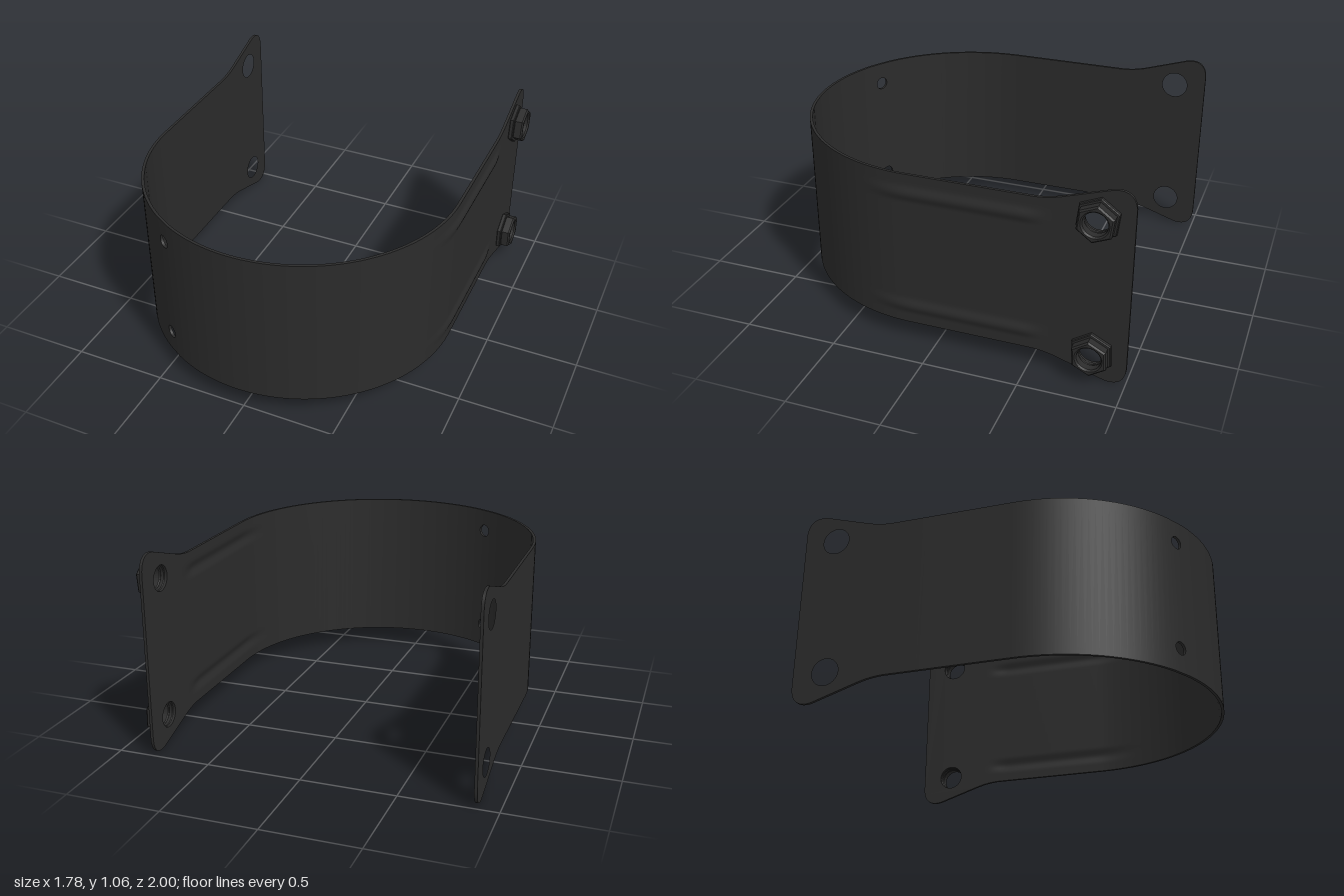
import * as THREE from 'three';

const R = 0.847, T = 0.015;           // bend radius at mid thickness, sheet thickness
const CX = -0.035, CZ = 0.145, CY = 0.5325;
const ARC = R * Math.PI / 2;          // half the arc length
const EAR_Z = -0.6;                   // where the end plates begin
const sAt = z => ARC + CZ - z;        // distance along the strap for a point on an arm

// Half height of the strap: constant, then flaring toward the ends
function halfHeight(z) {
  const t = Math.max(0, -0.5 - z);
  return 0.4275 + (t < 0.15 ? 0.32 * t * t / 0.3 : 0.024 + 0.32 * (t - 0.15));
}

// Wrap a flat piece (x along strap, z outward) into the U shape
function bend(geo) {
  const p = geo.attributes.position, n = geo.attributes.normal;
  for (let i = 0; i < p.count; i++) {
    const s = p.getX(i), r = R + p.getZ(i);
    const a = THREE.MathUtils.clamp(s, -ARC, ARC) / R;
    const c = Math.cos(a), k = Math.sin(a), nx = n.getX(i), nz = n.getZ(i);
    p.setXYZ(i, CX + r * k, p.getY(i), CZ + r * c - Math.max(0, Math.abs(s) - ARC));
    n.setXYZ(i, nx * c + nz * k, n.getY(i), nz * c - nx * k);
  }
  return geo;
}

// Raised height of the two long ribs
const smooth = THREE.MathUtils.smoothstep;
function rib(s, y) {
  const along = smooth(s, sAt(0.42), sAt(0.1)) * (1 - smooth(s, sAt(-0.45), sAt(EAR_Z)));
  const across = [0.205, 0.855].reduce((sum, c) => {
    const d = Math.min(1, Math.abs(y - c) / 0.05);
    return sum + 0.5 + 0.5 * Math.cos(Math.PI * d);
  }, 0);
  return 0.013 * along * across;
}

// Plain or ribbed stretch of strap
function stretch(s0, s1, segments, ribbed) {
  const geo = new THREE.BoxGeometry(s1 - s0, 2, T, segments, ribbed ? 80 : 1, 1);
  geo.translate((s0 + s1) / 2, 0, 0);
  const p = geo.attributes.position;
  for (let i = 0; i < p.count; i++) {
    const s = p.getX(i);
    const y = CY + p.getY(i) * halfHeight(CZ + ARC - Math.abs(s));
    p.setXYZ(i, s, y, p.getZ(i) + (ribbed ? rib(s, y) : 0));
  }
  bend(geo);
  if (ribbed) geo.computeVertexNormals();
  return geo;
}

function addHole(shape, x, y, r) {
  shape.holes.push(new THREE.Path().absarc(x, y, r, 0, Math.PI * 2, true));
}

function sheet(shape) {
  const geo = new THREE.ExtrudeGeometry(shape, { depth: T, bevelEnabled: false, curveSegments: 20 });
  return bend(geo.translate(0, 0, -T / 2));
}

// Flared end plate with two bolt holes
function endPlate(side, holeRadius) {
  const x = z => side * sAt(z), shape = new THREE.Shape();
  const zs = [];
  for (let i = 0; i <= 8; i++) zs.push(EAR_Z + (-0.87 - EAR_Z) * i / 8);
  shape.moveTo(x(EAR_Z), CY - halfHeight(EAR_Z));
  zs.forEach(z => shape.lineTo(x(z), CY - halfHeight(z)));
  shape.bezierCurveTo(x(-0.94), -0.014, x(-1), 0.01, x(-1), 0.1);
  shape.lineTo(x(-1), 2 * CY - 0.1);
  shape.bezierCurveTo(x(-1), 2 * CY - 0.01, x(-0.94), 2 * CY + 0.014, x(-0.87), CY + halfHeight(-0.87));
  zs.reverse().forEach(z => shape.lineTo(x(z), CY + halfHeight(z)));
  for (const y of [0.16, 0.905]) addHole(shape, x(-0.825), y, holeRadius);
  return sheet(shape);
}

// Hexagonal ring facing +z
function hexRing(radius, bore, depth, bevel) {
  const shape = new THREE.Shape();
  for (let i = 0; i < 6; i++) {
    const a = Math.PI / 2 + i * Math.PI / 3, r = radius - bevel;
    shape[i ? 'lineTo' : 'moveTo'](r * Math.cos(a), r * Math.sin(a));
  }
  shape.closePath();
  addHole(shape, 0, 0, bore + bevel);
  const geo = new THREE.ExtrudeGeometry(shape, {
    depth: depth - 2 * bevel, bevelThickness: bevel, bevelSize: bevel, bevelSegments: 1, curveSegments: 20,
  });
  return geo.translate(0, 0, bevel);
}

export function createModel() {
  const group = new THREE.Group();
  const black = new THREE.MeshStandardMaterial({ color: 0x2b2b2b });
  black.name = 'black steel';
  const add = (name, geo, parent = group) => {
    const mesh = new THREE.Mesh(geo, black);
    mesh.name = name;
    parent.add(mesh);
    return mesh;
  };

  // Curved strap with a narrow panel holding two small holes
  const h0 = -0.6 * R, h1 = -0.48 * R, ribStart = sAt(0.42) - 0.35;
  const panel = new THREE.Shape();
  panel.moveTo(h0, CY - 0.4275);
  panel.lineTo(h1, CY - 0.4275);
  panel.lineTo(h1, CY + 0.4275);
  panel.lineTo(h0, CY + 0.4275);
  panel.closePath();
  addHole(panel, -0.547 * R, 0.235, 0.035);
  addHole(panel, -0.532 * R, 0.835, 0.035);
  add('strapHolePanel', sheet(panel));
  add('strapFront', stretch(h1, ribStart, 36, false));
  add('strapRightCurve', stretch(-ARC, h0, 24, false));

  // Arms and end plates
  add('leftRibbedArm', stretch(ribStart, sAt(EAR_Z), 70, true));
  add('rightArm', stretch(-sAt(EAR_Z), -ARC, 40, false));
  add('leftEndPlate', endPlate(1, 0.068));
  add('rightEndPlate', endPlate(-1, 0.072));

  // Weld nuts on the left end plate
  [[0.16, 0.05], [0.905, -0.12]].forEach(([y, turn], i) => {
    const nut = new THREE.Group();
    nut.name = i ? 'upperWeldNut' : 'lowerWeldNut';
    add('nutFlange', hexRing(0.113, 0.064, 0.024, 0.004), nut);
    add('nutBody', hexRing(0.098, 0.062, 0.054, 0.008), nut).position.z = 0.02;
    nut.rotation.set(0, Math.PI / 2, turn, 'YXZ');
    nut.position.set(CX + R + T / 2 - 0.001, y, -0.825);
    group.add(nut);
  });
  return group;
}
